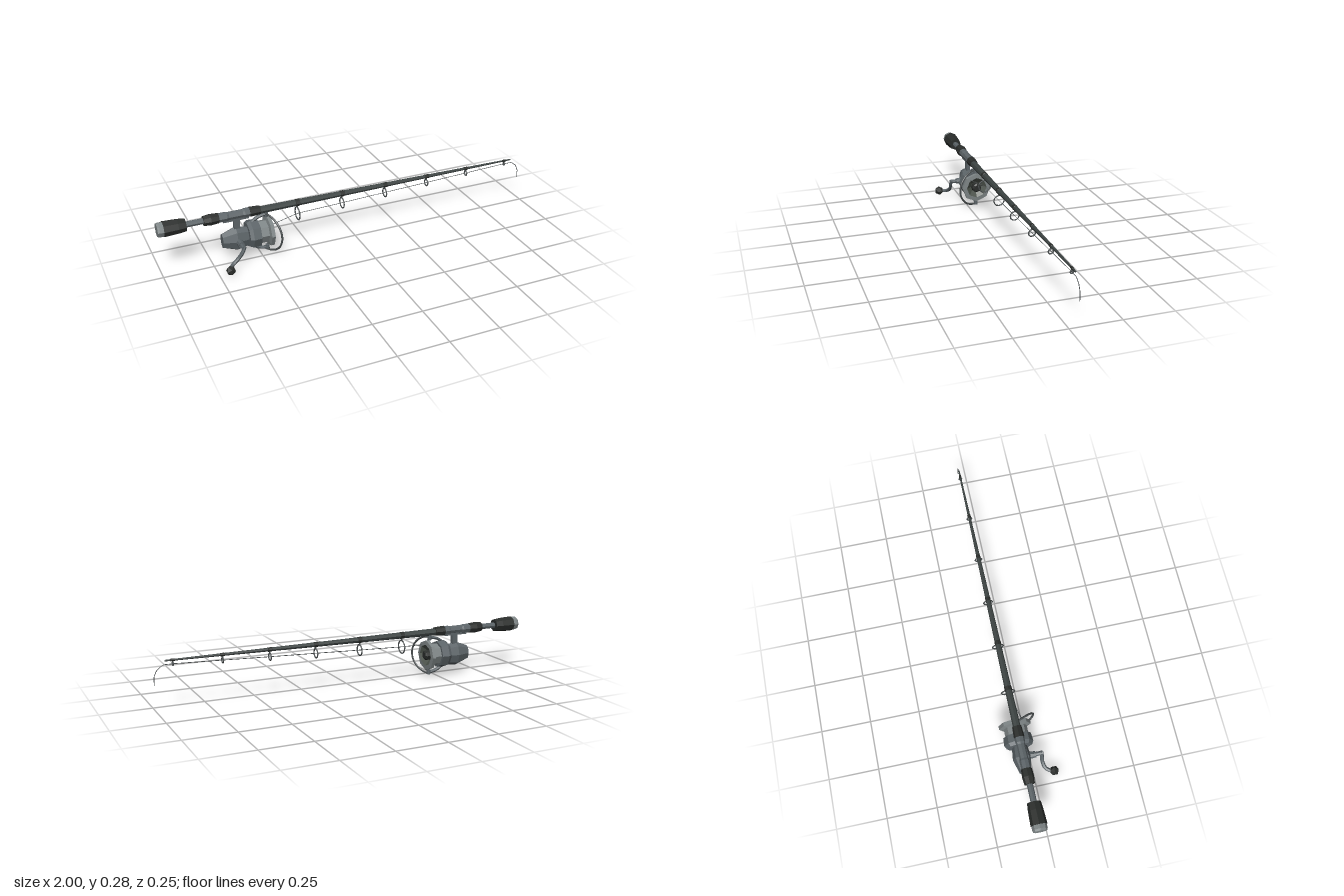
import * as THREE from 'three';

const ROD_Y = 0.24, REEL_Y = 0.117, Z = -0.045;

const mat = (color) => new THREE.MeshStandardMaterial({ color, flatShading: true });
const dark = mat(0x2a2d2b), steel = mat(0x5c6468), blank = mat(0x3d4443),
  light = mat(0x7d8485), olive = mat(0x4d544c), wire = mat(0x4a4f50);

export function createModel() {
  const model = new THREE.Group();
  model.name = 'fishingRod';

  const add = (name, geometry, material, parent = model) => {
    const mesh = new THREE.Mesh(geometry, material);
    mesh.name = name;
    parent.add(mesh);
    return mesh;
  };
  // Turned part along x from [x, radius] pairs
  const turned = (name, profile, material, y, parent, sides = 8) => {
    const pts = profile.map(([x, r]) => new THREE.Vector2(r, x));
    const mesh = add(name, new THREE.LatheGeometry(pts, sides).rotateZ(-Math.PI / 2), material, parent);
    mesh.position.set(0, y, Z);
    return mesh;
  };
  const tube = (name, pts, radius, material, parent, steps = 16, sides = 6) => {
    const curve = new THREE.CatmullRomCurve3(pts.map((p) => new THREE.Vector3(...p)));
    return add(name, new THREE.TubeGeometry(curve, steps, radius, sides), material, parent);
  };

  // Handle and rod blank
  const rod = new THREE.Group();
  rod.name = 'rod';
  model.add(rod);
  turned('buttCap', [[-1, 0], [-1, 0.034], [-0.99, 0.037], [-0.968, 0.037], [-0.968, 0]], light, ROD_Y, rod);
  turned('buttGrip', [[-0.97, 0], [-0.97, 0.04], [-0.9, 0.037], [-0.862, 0.033], [-0.862, 0]], dark, ROD_Y, rod);
  turned('handleShaft', [[-0.87, 0.015], [-0.76, 0.015]], steel, ROD_Y, rod);
  turned('rearGrip', [[-0.775, 0], [-0.775, 0.025], [-0.74, 0.029], [-0.7, 0.026], [-0.7, 0]], dark, ROD_Y, rod);
  turned('reelSeat', [[-0.7, 0.024], [-0.66, 0.024], [-0.65, 0.021], [-0.58, 0.021], [-0.57, 0.024], [-0.54, 0.024]], steel, ROD_Y, rod);
  turned('foreGrip', [[-0.545, 0], [-0.545, 0.026], [-0.49, 0.023], [-0.49, 0]], dark, ROD_Y, rod);
  turned('rodBlank', [[-0.5, 0.019], [-0.05, 0.0145], [0.43, 0.0095], [0.945, 0.004], [0.945, 0]], blank, ROD_Y - 0.002, rod);

  // Line guides shrinking towards the tip
  const guideX = [-0.295, -0.053, 0.188, 0.43, 0.668, 0.907];
  const guideR = [0.034, 0.028, 0.023, 0.0175, 0.0125, 0.0075];
  const guideY = guideX.map((x, i) => 0.143 + i * 0.0138 + guideR[i]);
  guideX.forEach((x, i) => {
    const guide = new THREE.Group();
    guide.name = 'lineGuide';
    rod.add(guide);
    add('guideRing', new THREE.TorusGeometry(guideR[i], 0.0035, 5, 12).rotateY(Math.PI / 2), wire, guide)
      .position.set(x, guideY[i], Z);
    const top = guideY[i] + guideR[i], length = ROD_Y - top;
    add('guideFoot', new THREE.BoxGeometry(0.006, length, 0.007), wire, guide)
      .position.set(x, top + length / 2, Z);
    const r = 0.0195 - (x + 0.5) * 0.0104;
    turned('guideWrap', [[x - 0.012, r - 0.002], [x - 0.01, r + 0.0012], [x + 0.01, r + 0.0012], [x + 0.012, r - 0.002]], dark, ROD_Y - 0.002, guide);
  });

  // Line from spool through the guides, hanging off the tip
  const linePath = new THREE.CurvePath();
  const linePts = [[-0.45, 0.165, -0.005], ...guideX.map((x, i) => [x, guideY[i], Z]),
    [0.955, 0.219, Z], [0.985, 0.195, Z], [0.998, 0.165, Z], [0.998, 0.125, Z]]
    .map((p) => new THREE.Vector3(...p));
  for (let i = 1; i < linePts.length; i++) linePath.add(new THREE.LineCurve3(linePts[i - 1], linePts[i]));
  add('line', new THREE.TubeGeometry(linePath, 120, 0.0018, 4), wire);

  // Reel
  const reel = new THREE.Group();
  reel.name = 'reel';
  model.add(reel);
  add('reelStem', new THREE.BoxGeometry(0.03, 0.07, 0.02), steel, reel).position.set(-0.612, 0.195, Z);
  add('reelFoot', new THREE.BoxGeometry(0.13, 0.012, 0.024), steel, reel).position.set(-0.615, 0.218, Z);
  const body = turned('reelBody', [[-0.69, 0], [-0.69, 0.038], [-0.62, 0.064], [-0.555, 0.052], [-0.555, 0]], steel, REEL_Y - 0.008, reel);
  body.scale.z = 0.72;
  turned('rotor', [[-0.562, 0], [-0.562, 0.064], [-0.545, 0.073], [-0.505, 0.07], [-0.505, 0]], steel, REEL_Y, reel);
  turned('spool', [[-0.51, 0.058], [-0.463, 0.058], [-0.458, 0.08], [-0.44, 0.08], [-0.438, 0.057]], light, REEL_Y, reel);
  turned('spoolRecess', [[-0.438, 0.057], [-0.462, 0.028], [-0.462, 0]], olive, REEL_Y, reel);
  turned('dragKnob', [[-0.465, 0.027], [-0.437, 0.025], [-0.43, 0.018], [-0.43, 0]], dark, REEL_Y, reel);

  // Bail arms at top and bottom, joined by the wire on the handle side
  for (const s of [1, -1]) {
    tube('bailArm', [[-0.535, REEL_Y + s * 0.066, Z], [-0.505, REEL_Y + s * 0.085, Z], [-0.455, REEL_Y + s * 0.096, Z]], 0.0085, steel, reel, 6);
    add('bailPivot', new THREE.CylinderGeometry(0.011, 0.011, 0.024, 8), steel, reel)
      .position.set(-0.46, REEL_Y + s * 0.092, Z);
  }
  const bail = [];
  for (let i = 0; i <= 10; i++) {
    const a = (i / 10) * Math.PI;
    bail.push([-0.465 + 0.05 * Math.sin(a), REEL_Y - 0.002 + 0.1 * Math.cos(a), Z + 0.102 * Math.sin(a)]);
  }
  tube('bailWire', bail, 0.0052, wire, reel, 24);

  // Crank handle
  add('crankHub', new THREE.CylinderGeometry(0.016, 0.019, 0.04, 8).rotateX(Math.PI / 2), steel, reel)
    .position.set(-0.612, 0.105, 0.005);
  add('crankShaft', new THREE.CylinderGeometry(0.011, 0.011, 0.07, 8).rotateX(Math.PI / 2), steel, reel)
    .position.set(-0.612, 0.105, 0.026);
  tube('crankArm', [[-0.606, 0.113, 0.054], [-0.618, 0.085, 0.056], [-0.642, 0.052, 0.054],
    [-0.675, 0.03, 0.064], [-0.695, 0.026, 0.09]], 0.0095, steel, reel, 14);
  add('crankKnob', new THREE.IcosahedronGeometry(0.025), dark, reel).position.set(-0.696, 0.026, 0.104);

  return model;
}
